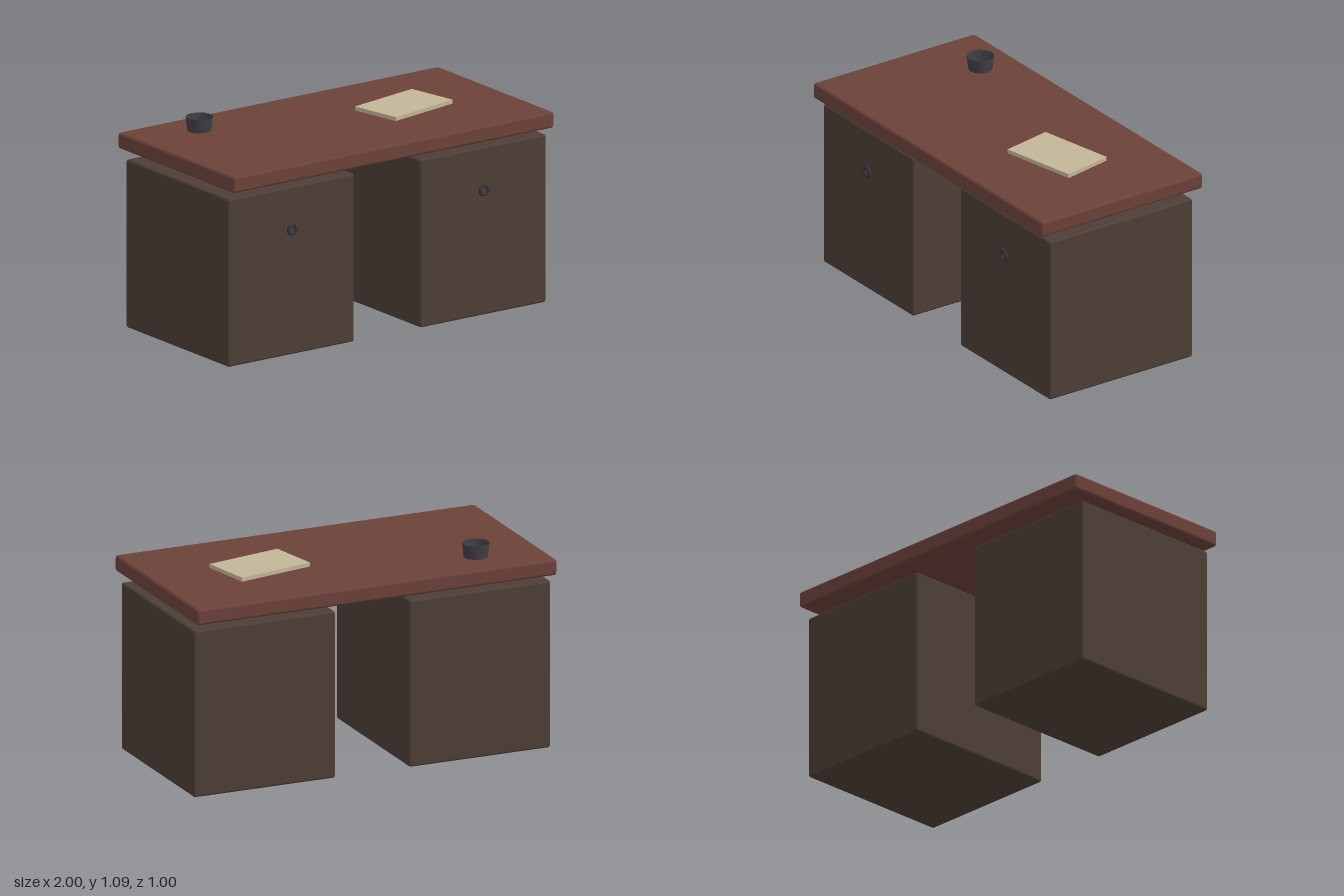
import * as THREE from 'three';
import { RoundedBoxGeometry } from 'three/addons/geometries/RoundedBoxGeometry.js';

const material = (color, side = THREE.FrontSide) => new THREE.MeshStandardMaterial({ color, side });

export function createModel() {
  const desk = new THREE.Group();
  desk.name = 'desk';

  const topWood = material(0x6b4138);
  const darkWood = material(0x4d3e36);
  const metal = material(0x333338);
  const paper = material(0xc2b598);
  const ceramic = material(0x3f3f46, THREE.DoubleSide);

  function add(name, geometry, mat, x, y, z) {
    const mesh = new THREE.Mesh(geometry, mat);
    mesh.name = name;
    mesh.position.set(x, y, z);
    desk.add(mesh);
    return mesh;
  }

  // Floating desktop slab
  add('desktop', new RoundedBoxGeometry(2, 0.085, 1, 3, 0.015), topWood, 0, 0.9725, 0);

  // Pedestal cabinets with a ring pull on each front
  for (const [side, s] of [['left', 1], ['right', -1]]) {
    add(side + 'Pedestal', new RoundedBoxGeometry(0.786, 0.885, 0.884, 3, 0.012), darkWood, s * 0.598, 0.4425, 0);
    add(side + 'RingPull', new THREE.TorusGeometry(0.024, 0.008, 8, 20), metal, s * 0.598, 0.66, 0.449);
  }

  // Stack of paper lying at an angle
  add('paperStack', new THREE.BoxGeometry(0.424, 0.021, 0.28), paper, 0.425, 1.03, -0.003).rotation.y = 0.2;

  // Open tapered cup, 12 sided
  const cupProfile = [[0, 0], [0.062, 0], [0.062, 0], [0.07, 0.072]].map(([r, y]) => new THREE.Vector2(r, y));
  add('cup', new THREE.LatheGeometry(cupProfile, 12), ceramic, -0.645, 1.0165, -0.286);

  return desk;
}
